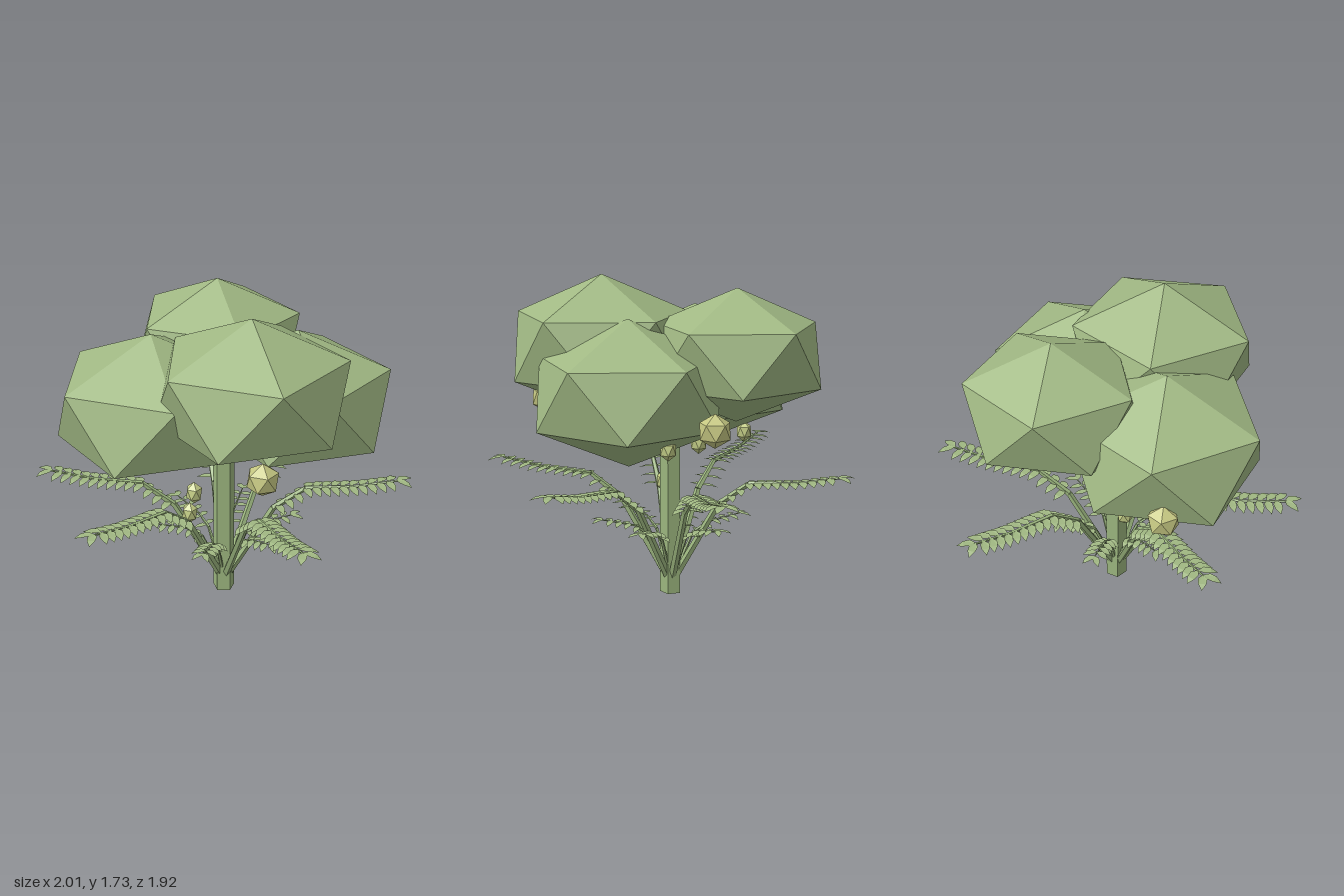
import * as THREE from 'three';
import { mergeGeometries } from 'three/addons/utils/BufferGeometryUtils.js';

const foliage = new THREE.MeshStandardMaterial({ color: 0xa1b984, flatShading: true });
foliage.name = 'foliage green';
const leafGreen = new THREE.MeshStandardMaterial({ color: 0xa0b782, side: THREE.DoubleSide, flatShading: true });
leafGreen.name = 'leaf green';
const stemGreen = new THREE.MeshStandardMaterial({ color: 0x9bb57e, flatShading: true });
stemGreen.name = 'stem green';
const paleFruit = new THREE.MeshStandardMaterial({ color: 0xc6d088, flatShading: true });
paleFruit.name = 'pale fruit';
const ripeFruit = new THREE.MeshStandardMaterial({ color: 0xc6c882, flatShading: true });
ripeFruit.name = 'ripe fruit';

const TRUNK_X = -0.005, TRUNK_Z = 0.03;

// Icosahedron standing on a corner, stretched to radius r and half height h
function ball(name, material, [x, y, z], r, h) {
  const geo = new THREE.IcosahedronGeometry(1, 0);
  geo.rotateZ(-Math.atan(2 / (1 + Math.sqrt(5))));
  geo.scale(r, h, r);
  const mesh = new THREE.Mesh(geo, material);
  mesh.name = name;
  mesh.position.set(x, y, z);
  return mesh;
}

// Pointed leaf lying flat along +x, its tip drooping
function leafGeometry(length) {
  const shape = new THREE.Shape([
    [0, 0], [0.3, -0.23], [0.65, -0.2], [1, 0], [0.65, 0.2], [0.3, 0.23],
  ].map(([x, y]) => new THREE.Vector2(x * length, y * length)));
  const geo = new THREE.ShapeGeometry(shape);
  geo.rotateX(-Math.PI / 2);
  const p = geo.attributes.position;
  for (let i = 0; i < p.count; i++) {
    const t = p.getX(i) / length;
    p.setY(i, 0.35 * length * t * (0.6 - t) + 0.006);
  }
  return geo;
}

// Tapered five-sided rod between two points of the xy plane
function rod(a, b, ra, rb) {
  const dx = b[0] - a[0], dy = b[1] - a[1];
  const geo = new THREE.CylinderGeometry(rb, ra, Math.hypot(dx, dy), 5);
  geo.rotateZ(Math.atan2(dy, dx) - Math.PI / 2);
  geo.translate((a[0] + b[0]) / 2, (a[1] + b[1]) / 2, 0);
  return geo;
}

function heightAt(path, x) {
  let i = 1;
  while (i < path.length - 1 && path[i][0] < x) i++;
  const [a, b] = [path[i - 1], path[i]];
  return THREE.MathUtils.mapLinear(x, a[0], b[0], a[1], b[1]);
}

// Arching stem with paired leaves on its outer part
function frond(name, degrees, path, radius, from, pairs, step, leafLength) {
  const group = new THREE.Group();
  group.name = name;
  const n = path.length - 1;
  const rods = [];
  for (let i = 0; i < n; i++) {
    rods.push(rod(path[i], path[i + 1], radius * (1 - 0.75 * i / n), radius * (1 - 0.75 * (i + 1) / n)));
  }
  const stem = new THREE.Mesh(mergeGeometries(rods), stemGreen);
  stem.name = 'stem';

  const leaves = [];
  for (let i = 0; i < pairs; i++) {
    const x = from + i * step;
    const spread = i === pairs - 1 ? 0.6 : 1.1;
    for (const side of [-1, 1]) {
      const leaf = leafGeometry(leafLength);
      leaf.rotateY(side * spread);
      leaf.translate(x, heightAt(path, x), 0);
      leaves.push(leaf);
    }
  }
  const blades = new THREE.Mesh(mergeGeometries(leaves), leafGreen);
  blades.name = 'leaves';
  group.add(stem, blades);
  group.position.set(TRUNK_X, 0, TRUNK_Z);
  group.rotation.y = -THREE.MathUtils.degToRad(degrees);
  return group;
}

export function createModel() {
  const model = new THREE.Group();
  model.name = 'tree';

  // Five-sided trunk with a flat side to the front
  const trunk = new THREE.Mesh(new THREE.CylinderGeometry(0.06, 0.06, 0.865, 5), stemGreen);
  trunk.name = 'trunk';
  trunk.rotation.y = Math.PI;
  trunk.position.set(TRUNK_X, 0.4325, TRUNK_Z);
  model.add(trunk);

  // Crown masses: centre, radius, half height
  const crowns = [
    [[0.14, 1.35, 0.375], 0.537, 0.38],
    [[-0.37, 1.15, 0.12], 0.56, 0.395],
    [[0.375, 1.16, 0.03], 0.537, 0.38],
    [[-0.05, 1.335, -0.35], 0.495, 0.347],
  ];
  for (const c of crowns) model.add(ball('crown', foliage, ...c));

  // Long upper fronds
  const longPath = [[0.02, 0.08], [0.27, 0.52], [0.44, 0.65], [0.7, 0.675], [0.93, 0.725]];
  for (const a of [5, 64, 132, 179, 257, 310]) {
    model.add(frond('longFrond', a, longPath, 0.022, 0.29, 14, 0.0485, 0.1));
  }

  // Short lower fronds
  const shortPath = [[0.02, 0.1], [0.12, 0.33], [0.2, 0.385], [0.38, 0.425]];
  for (const a of [-10, 45, 105, 172, 225, 285]) {
    model.add(frond('shortFrond', a, shortPath, 0.012, 0.13, 6, 0.048, 0.08));
  }

  // Large round fruit
  for (const p of [[0.2, 1.045, 0.72], [0.44, 1.045, -0.535], [-0.75, 1.0, -0.09]]) {
    model.add(ball('largeFruit', ripeFruit, p, 0.086, 0.086));
  }

  // Small long fruit
  const small = [
    [-0.14, 0.85, 0.5], [-0.18, 0.565, 0.2], [-0.46, 0.84, -0.15],
    [0.15, 0.9, -0.25], [0.41, 0.91, -0.24],
  ];
  for (const p of small) model.add(ball('smallFruit', paleFruit, p, 0.045, 0.06));

  return model;
}
